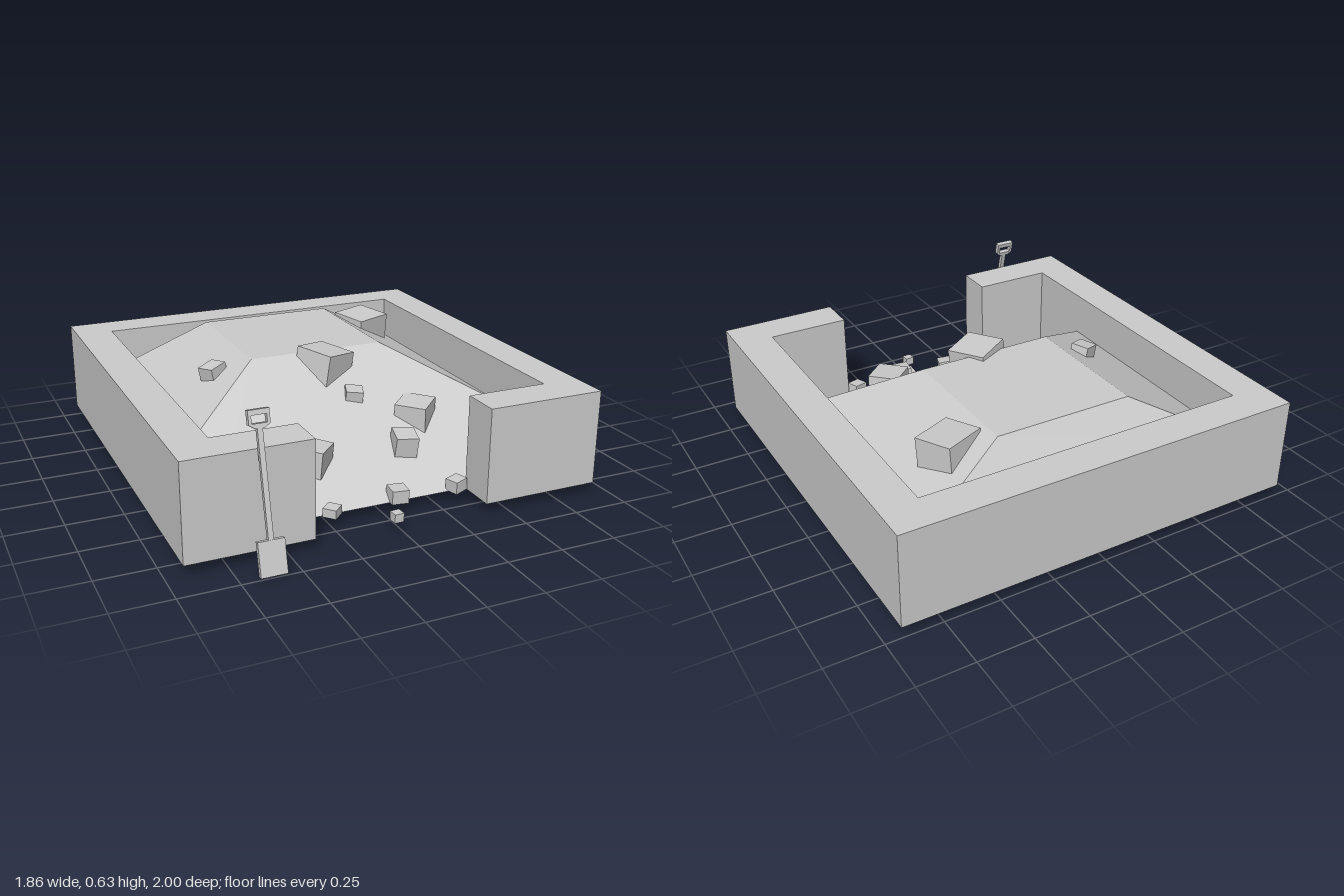
import * as THREE from 'three';

const grey = new THREE.MeshStandardMaterial({ color: 0xcccccc, flatShading: true });
const greyDouble = new THREE.MeshStandardMaterial({ color: 0xcccccc, flatShading: true, side: THREE.DoubleSide });

function addMesh(parent, name, geometry, material = grey) {
  const mesh = new THREE.Mesh(geometry, material);
  mesh.name = name;
  parent.add(mesh);
  return mesh;
}

function addBox(parent, name, w, h, d, x, y, z) {
  const mesh = addMesh(parent, name, new THREE.BoxGeometry(w, h, d));
  mesh.position.set(x, y, z);
  return mesh;
}

// Thick wall around three sides, returning at the front to leave an opening
function wallGeometry() {
  const half = [[0.39, 0.865], [0.93, 0.865], [0.93, -1], [-0.93, -1], [-0.93, 0.865], [-0.39, 0.865],
    [-0.39, 0.69], [-0.76, 0.69], [-0.76, -0.83], [0.76, -0.83], [0.76, 0.69], [0.39, 0.69]];
  const shape = new THREE.Shape(half.map(([x, z]) => new THREE.Vector2(x, -z)));
  const geo = new THREE.ExtrudeGeometry(shape, { depth: 0.425, bevelEnabled: false });
  return geo.rotateX(-Math.PI / 2).translate(0, 0.05, 0);
}

// Faceted heap: flat top, steep back and sides, long ramp down to the opening
function heapGeometry() {
  const top = 0.515, rim = 0.276, base = 0.05;
  const p = [
    [-0.32, top, -0.665], [0.32, top, -0.665], [0.32, top, -0.02], [-0.32, top, -0.02],
    [-0.76, rim, -0.83], [0.76, rim, -0.83], [0.76, rim, 0.345], [-0.76, rim, 0.345],
    [0.76, base, 0.69], [-0.76, base, 0.69],
  ];
  const faces = [[0, 3, 2, 1], [4, 0, 1, 5], [4, 7, 3, 0], [1, 2, 6, 5], [3, 7, 9, 8, 6, 2]];
  const pos = [];
  for (const f of faces) {
    for (let i = 1; i < f.length - 1; i++) pos.push(...p[f[0]], ...p[f[i]], ...p[f[i + 1]]);
  }
  const geo = new THREE.BufferGeometry();
  geo.setAttribute('position', new THREE.Float32BufferAttribute(pos, 3));
  geo.computeVertexNormals();
  return geo;
}

// Spade leaning against the front wall
function makeSpade() {
  const spade = new THREE.Group();
  spade.name = 'spade';
  addBox(spade, 'blade', 0.11, 0.14, 0.022, 0, 0.07, 0);
  addBox(spade, 'shaft', 0.022, 0.44, 0.02, 0, 0.355, 0);
  const grip = new THREE.Shape();
  grip.moveTo(-0.02, 0.565).lineTo(0.02, 0.565).lineTo(0.043, 0.58).lineTo(0.043, 0.637)
    .lineTo(-0.043, 0.637).lineTo(-0.043, 0.58).closePath();
  const hole = new THREE.Path();
  hole.moveTo(-0.031, 0.584).lineTo(-0.031, 0.616).lineTo(0.031, 0.616).lineTo(0.031, 0.584).closePath();
  grip.holes.push(hole);
  const geo = new THREE.ExtrudeGeometry(grip, { depth: 0.024, bevelEnabled: false }).translate(0, 0, -0.012);
  addMesh(spade, 'grip', geo);
  spade.position.set(-0.615, 0.003, 0.987);
  spade.rotation.x = -0.23;
  return spade;
}

export function createModel() {
  const model = new THREE.Group();
  model.name = 'heapBay';
  addMesh(model, 'wall', wallGeometry());
  addMesh(model, 'heap', heapGeometry(), greyDouble);

  // Lumps: width, height, depth, x, y, z, then turn and tilts in radians
  const lumps = [
    [0.175, 0.17, 0.19, 0.01, 0.452, 0.035, 0.48, 0.02, -0.14],
    [0.2, 0.15, 0.18, 0.47, 0.432, -0.535, 0.4, 0.08, -0.03],
    [0.093, 0.09, 0.085, -0.468, 0.436, -0.117, 0.49, 0.02, 0.2],
    [0.078, 0.07, 0.075, 0.08, 0.36, 0.21, -0.33, 0.17, -0.04],
    [0.15, 0.13, 0.145, 0.33, 0.275, 0.33, 0.77, 0.06, 0.03],
    [0.13, 0.12, 0.12, -0.225, 0.21, 0.47, 0.78, 0.06, -0.06],
    [0.1, 0.11, 0.105, 0.2, 0.205, 0.475, -0.22, 0.16, -0.04],
    [0.06, 0.04, 0.06, -0.245, 0.07, 0.7, 0.75, 0.04, 0.02],
    [0.075, 0.06, 0.075, 0.065, 0.08, 0.682, -0.09, 0.04, -0.03],
    [0.068, 0.055, 0.062, 0.342, 0.08, 0.694, 0.35, 0.05, 0.05],
    [0.042, 0.038, 0.042, -0.025, 0.07, 0.85, 0.05, 0.02, 0],
  ];
  for (const [w, h, d, x, y, z, turn, tiltX, tiltZ] of lumps) {
    const lump = addBox(model, 'lump', w, h, d, x, y, z);
    // World tilt applied after the turn about the vertical
    lump.rotation.set(tiltX, turn, tiltZ, 'XZY');
  }

  model.add(makeSpade());
  return model;
}
